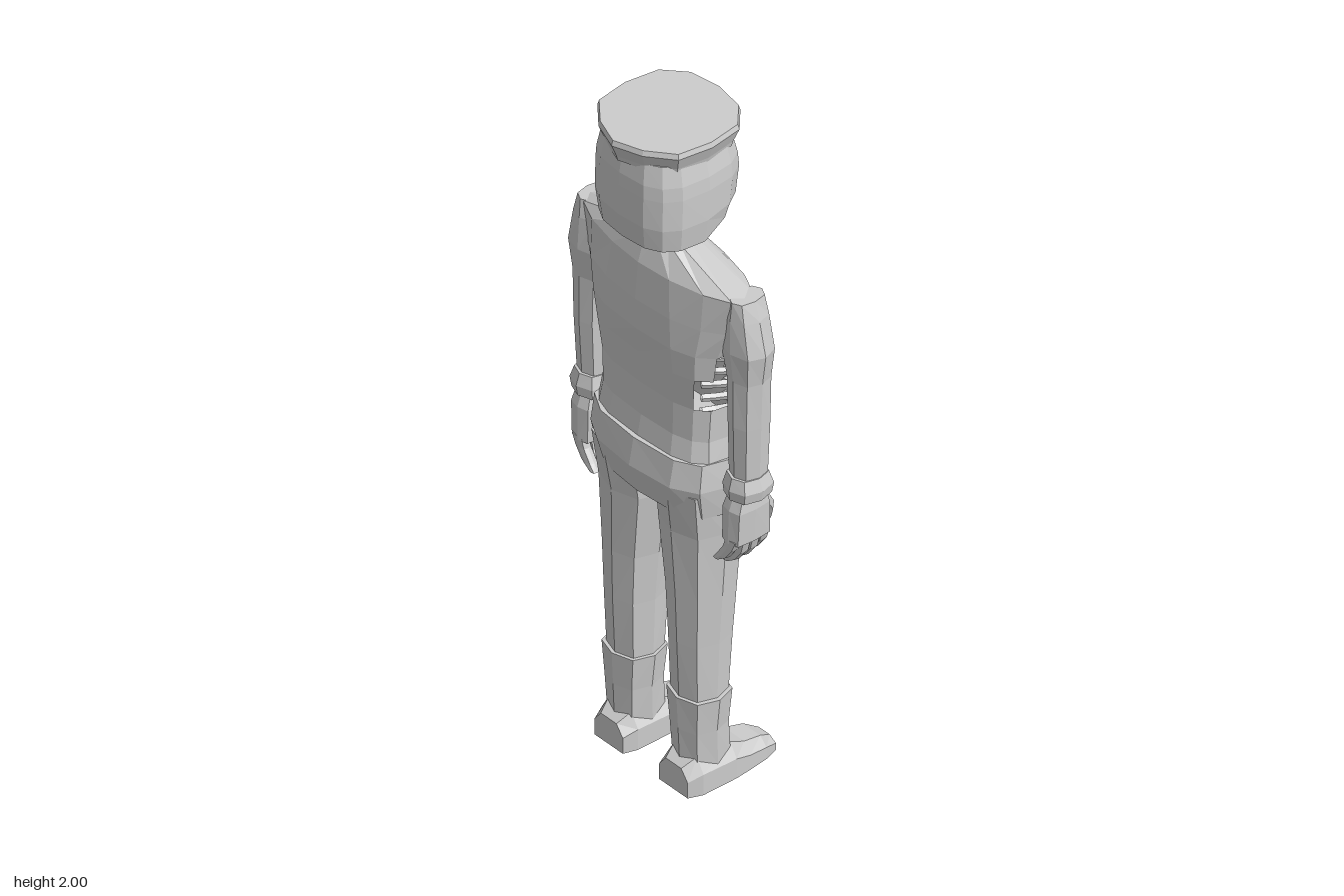
import * as THREE from 'three';

const grey = new THREE.MeshStandardMaterial({ color: 0xcccccc, flatShading: true, side: THREE.DoubleSide });
grey.name = 'plainGrey';

// Skin a stack of closed rings of [x,y,z]; skip(i,j) leaves a hole in the wall
function loft(rings, skip = () => false, capA = true, capB = true) {
  const n = rings[0].length, pos = [];
  const tri = (a, b, c) => pos.push(...a, ...b, ...c);
  for (let i = 0; i < rings.length - 1; i++) {
    for (let j = 0; j < n; j++) {
      if (skip(i, j)) continue;
      const k = (j + 1) % n, a = rings[i], b = rings[i + 1];
      tri(a[j], a[k], b[k]);
      tri(a[j], b[k], b[j]);
    }
  }
  const mid = r => [0, 1, 2].map(c => r.reduce((s, p) => s + p[c], 0) / n);
  const A = rings[0], B = rings[rings.length - 1], ma = mid(A), mb = mid(B);
  for (let j = 0; j < n; j++) {
    const k = (j + 1) % n;
    if (capA) tri(ma, A[k], A[j]);
    if (capB) tri(mb, B[j], B[k]);
  }
  // Turn the faces outward if the rings ran the other way
  let vol = 0;
  const v = i => new THREE.Vector3().fromArray(pos, i);
  for (let i = 0; i < pos.length; i += 9) vol += v(i).dot(v(i + 3).cross(v(i + 6)));
  if (vol < 0) {
    for (let i = 0; i < pos.length; i += 9) {
      for (let c = 0; c < 3; c++) [pos[i + 3 + c], pos[i + 6 + c]] = [pos[i + 6 + c], pos[i + 3 + c]];
    }
  }
  const g = new THREE.BufferGeometry();
  g.setAttribute('position', new THREE.Float32BufferAttribute(pos, 3));
  g.computeVertexNormals();
  return g;
}

// Horizontal ring from x0..x1 and zBack..zFront; e below 1 is boxy, above 1 is diamond-like
function ring(y, x0, x1, zb, zf, e = 0.8, n = 8, tilt = 0) {
  const f = t => Math.sign(t) * Math.pow(Math.abs(t) < 1e-6 ? 0 : Math.abs(t), e);
  return Array.from({ length: n }, (_, j) => {
    const a = j / n * Math.PI * 2, z = (zb + zf) / 2 + f(Math.cos(a)) * (zb - zf) / 2;
    return [(x0 + x1) / 2 + f(Math.sin(a)) * (x1 - x0) / 2, y + z * tilt, z];
  });
}

function add(parent, name, geometry, x = 0, y = 0, z = 0) {
  const m = new THREE.Mesh(geometry, grey);
  m.name = name;
  m.position.set(x, y, z);
  parent.add(m);
  return m;
}

const tube = (pts, r, sides = 5, seg = 6) =>
  new THREE.TubeGeometry(new THREE.CatmullRomCurve3(pts.map(p => new THREE.Vector3(...p))), seg, r, sides);

function buildTorso(g) {
  // y, half width, back z, front z, corner exponent
  const rows = [[1.02, 0.225, 0.115, -0.125, 0.65], [1.1, 0.215, 0.1, -0.115, 0.65], [1.2, 0.22, 0.1, -0.125, 0.65],
    [1.3, 0.235, 0.11, -0.145, 0.65], [1.38, 0.25, 0.12, -0.16, 0.7], [1.47, 0.29, 0.12, -0.14, 0.9],
    [1.58, 0.315, 0.11, -0.09, 1.1], [1.64, 0.09, 0.085, -0.06, 0.9]];
  const torn = { 1: [5], 2: [2, 3, 4, 5], 3: [3, 4, 5], 4: [5] };
  add(g, 'jacket', loft(rows.map(([y, w, b, f, e], i) => ring(y, -w, w, b, f, e, 16, i === 7 ? 0.25 : 0)),
    (i, j) => !!torn[i] && torn[i].includes(j)));
  // Ribs inside the tear
  for (let i = 0; i < 9; i++) {
    const y = 1.13 + i * 0.042, s = 0.9 + 0.1 * Math.sin(i / 8 * Math.PI);
    add(g, 'rib', tube([[0.15, y + 0.03, 0.03], [0.185 * s, y + 0.025, -0.02], [0.18 * s, y + 0.005, -0.08],
      [0.14, y - 0.015, -0.112 * s], [0.08, y - 0.02, -0.118 * s]], 0.011));
  }
  // Ragged cloth around the tear
  for (let i = 0; i < 7; i++) {
    const flap = add(g, 'tornCloth', new THREE.ConeGeometry(0.014, 0.05, 3), 0.188 - 0.006 * (i % 2), 1.13 + i * 0.05, -0.1 - 0.008 * (i % 3));
    flap.rotation.set(0.5 * i, 0, 1.2 + 0.3 * (i % 3));
  }
  add(g, 'collar', loft([ring(1.615, -0.095, 0.095, 0.085, -0.07, 1, 10, 0.4), ring(1.65, -0.08, 0.08, 0.08, -0.065, 1, 10, 0.4)]));
  add(g, 'neck', new THREE.CylinderGeometry(0.05, 0.06, 0.16, 8), 0, 1.68, 0.005);
}

function buildTrousers(g) {
  add(g, 'hips', loft([ring(1.04, -0.23, 0.23, 0.125, -0.13, 0.7, 12), ring(0.96, -0.235, 0.235, 0.14, -0.125, 0.75, 12),
    ring(0.87, -0.225, 0.225, 0.115, -0.105, 0.75, 12), ring(0.81, -0.12, 0.12, 0.05, -0.05, 0.8, 12)]));
}

function buildLeg(g) {
  add(g, 'trouserLeg', loft([ring(0.94, 0.02, 0.225, 0.12, -0.105), ring(0.8, 0.014, 0.216, 0.1, -0.095),
    ring(0.6, 0.04, 0.205, 0.092, -0.08), ring(0.45, 0.05, 0.198, 0.088, -0.068), ring(0.26, 0.055, 0.192, 0.08, -0.055)]));
  add(g, 'boot', loft([ring(0.28, 0.045, 0.205, 0.09, -0.062), ring(0.18, 0.056, 0.195, 0.085, -0.055),
    ring(0.07, 0.062, 0.19, 0.08, -0.065)]));
  // Shoe stations along z: z, height, inner x, outer x
  const stations = [[0.1, 0.08, 0.07, 0.18], [0.06, 0.105, 0.058, 0.195], [-0.05, 0.1, 0.058, 0.195],
    [-0.1, 0.075, 0.062, 0.19], [-0.16, 0.06, 0.065, 0.182], [-0.203, 0.035, 0.077, 0.168]];
  add(g, 'shoe', loft(stations.map(([z, h, a, b]) => [[a, 0, z], [b, 0, z], [b, h * 0.6, z],
    [b - 0.025, h, z], [a + 0.025, h, z], [a, h * 0.6, z]])));
}

function buildArm(g) {
  add(g, 'sleeve', loft([ring(1.585, 0.26, 0.325, 0.05, -0.05), ring(1.53, 0.24, 0.342, 0.055, -0.055),
    ring(1.43, 0.225, 0.364, 0.058, -0.06), ring(1.34, 0.245, 0.35, 0.05, -0.055), ring(1.2, 0.25, 0.345, 0.05, -0.055),
    ring(0.98, 0.25, 0.335, 0.042, -0.05)]));
  add(g, 'cuff', loft([ring(1.04, 0.248, 0.34, 0.052, -0.055), ring(1.005, 0.238, 0.352, 0.062, -0.066),
    ring(0.975, 0.24, 0.347, 0.058, -0.062)]));
  add(g, 'palm', loft([ring(0.98, 0.262, 0.325, 0.045, -0.045, 0.4), ring(0.94, 0.255, 0.33, 0.06, -0.055, 0.4),
    ring(0.84, 0.255, 0.325, 0.062, -0.06, 0.4)]));
  for (let i = 0; i < 4; i++) {
    const z = 0.047 - i * 0.031, d = i === 0 ? 0.02 : i === 3 ? 0.01 : 0;
    add(g, 'finger', loft([[0.85, 0.275, 0.318], [0.8 + d, 0.265, 0.305], [0.765 + d, 0.242, 0.28], [0.745 + d, 0.228, 0.25]]
      .map(([y, a, b]) => ring(y, a, b, z + 0.014, z - 0.014, 0.5))));
  }
  add(g, 'thumb', tube([[0.285, 0.93, -0.05], [0.272, 0.88, -0.085], [0.25, 0.83, -0.088]], 0.02, 5, 4));
}

function buildHead(g) {
  // Flat-topped cap
  const half = [[0, 0.198], [0.085, 0.168], [0.157, 0.11], [0.172, 0.01], [0.157, -0.092], [0.095, -0.148], [0, -0.164]];
  const outline = [...half, ...half.slice(1, -1).reverse().map(([x, z]) => [-x, z])];
  const capRing = (y, s) => outline.map(([x, z]) => [x * s, y, 0.012 + (z - 0.012) * s]);
  add(g, 'cap', loft([capRing(1.93, 0.89), capRing(1.945, 0.91), capRing(1.985, 1), capRing(2, 0.975)]));

  // Hair hood, open around the face
  const hoodRing = (y, w, b, f, lift) => ring(y, -w, w, b, f, 0.7, 16).map(([x, yy, z]) => [x, yy + (z < -0.04 ? lift : 0), z]);
  const hood = [hoodRing(1.95, 0.15, 0.162, -0.132, 0), hoodRing(1.89, 0.163, 0.172, -0.145, 0), hoodRing(1.85, 0.166, 0.174, -0.148, 0),
    hoodRing(1.76, 0.166, 0.174, -0.135, 0.01), hoodRing(1.69, 0.157, 0.165, -0.12, 0.035)];
  add(g, 'hair', loft(hood, (i, j) => i >= 2 && j >= (i === 3 ? 5 : 6) && j <= (i === 3 ? 10 : 9), true, false));

  // Face narrowing to the chin
  add(g, 'face', loft([ring(1.93, -0.12, 0.12, 0.09, -0.12, 0.8, 12), ring(1.85, -0.13, 0.13, 0.09, -0.128, 0.8, 12),
    ring(1.82, -0.13, 0.13, 0.09, -0.105, 0.8, 12), ring(1.77, -0.12, 0.12, 0.08, -0.128, 0.8, 12),
    ring(1.71, -0.085, 0.085, 0.05, -0.118, 0.8, 12), ring(1.67, -0.05, 0.05, 0, -0.128, 0.8, 12),
    ring(1.648, -0.03, 0.03, -0.06, -0.122, 0.8, 12)]));
  add(g, 'nose', loft([ring(1.84, -0.012, 0.012, -0.09, -0.125), ring(1.78, -0.022, 0.022, -0.1, -0.16),
    ring(1.762, -0.02, 0.02, -0.1, -0.145)]));
  for (const s of [-1, 1]) {
    add(g, 'brow', new THREE.BoxGeometry(0.08, 0.018, 0.03), s * 0.055, 1.853, -0.122).rotation.z = s * 0.2;
    add(g, 'eye', new THREE.IcosahedronGeometry(0.018, 1), s * 0.05, 1.818, -0.1);
    add(g, 'cheek', new THREE.IcosahedronGeometry(0.028, 0), s * 0.068, 1.77, -0.108);
    add(g, 'moustache', new THREE.BoxGeometry(0.055, 0.014, 0.025), s * 0.027, 1.742, -0.125).rotation.z = -s * 0.3;
  }
  add(g, 'lips', new THREE.BoxGeometry(0.06, 0.012, 0.02), 0, 1.708, -0.12);
}

// Mirror a limb by flipping x and the winding of its triangles
function mirrored(source, name) {
  const out = new THREE.Group();
  out.name = name;
  source.children.forEach(m => {
    const geo = m.geometry.index ? m.geometry.toNonIndexed() : m.geometry.clone();
    const p = geo.attributes.position, a = Array.from(p.array);
    for (let i = 0; i < a.length; i += 9) {
      [0, 2, 1].forEach((k, t) => p.setXYZ(i / 3 + t, -a[i + k * 3], a[i + k * 3 + 1], a[i + k * 3 + 2]));
    }
    geo.computeVertexNormals();
    add(out, m.name, geo);
  });
  return out;
}

export function createModel() {
  const root = new THREE.Group();
  root.name = 'standingFigure';
  for (const [name, build] of [['torso', buildTorso], ['trousers', buildTrousers], ['head', buildHead]]) {
    const g = new THREE.Group();
    g.name = name;
    build(g);
    root.add(g);
  }
  for (const [name, build] of [['Leg', buildLeg], ['Arm', buildArm]]) {
    const g = new THREE.Group();
    g.name = 'left' + name;
    build(g);
    root.add(g, mirrored(g, 'right' + name));
  }
  return root;
}
